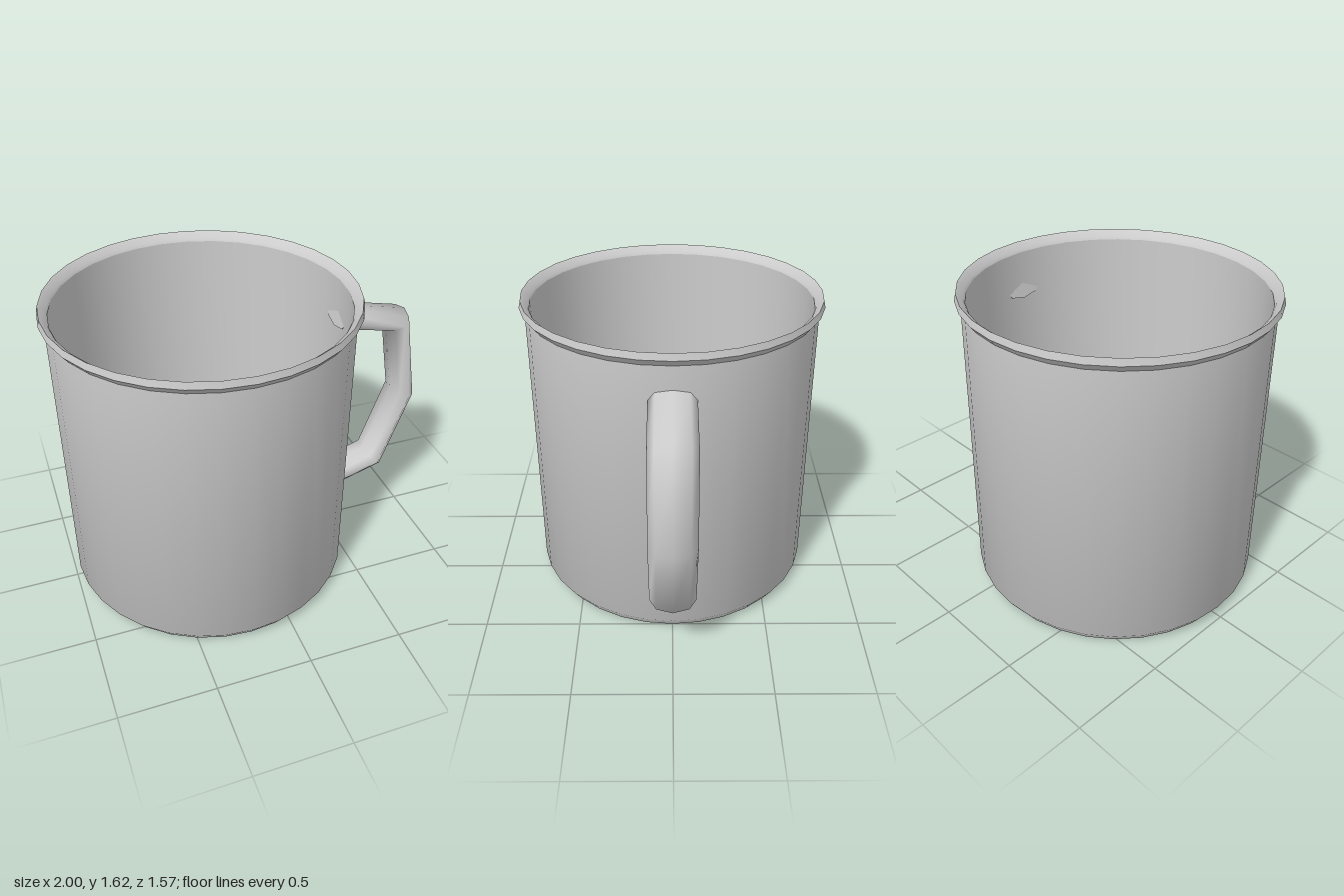
import * as THREE from 'three';
import { toCreasedNormals } from 'three/addons/utils/BufferGeometryUtils.js';

const CUP_X = -0.22;

// Revolve a [radius, height] profile around the cup axis
function turned(name, profile, crease, material) {
  const points = profile.map(([r, y]) => new THREE.Vector2(r, y));
  const mesh = new THREE.Mesh(toCreasedNormals(new THREE.LatheGeometry(points, 32), crease), material);
  mesh.name = name;
  mesh.position.x = CUP_X;
  return mesh;
}

// Sweep a flattened octagon along a path in the xy plane, with mitred corners
function bentBar(path, halfThick, halfWide, sides) {
  const pts = path.map(([x, y]) => new THREE.Vector2(x, y));
  const last = pts.length - 1;
  const positions = [];
  const index = [];
  pts.forEach((p, i) => {
    const before = p.clone().sub(pts[Math.max(i - 1, 0)]).normalize();
    const after = pts[Math.min(i + 1, last)].clone().sub(p).normalize();
    const tangent = before.clone().add(after).normalize();
    const mitre = halfThick / tangent.dot(i < last ? after : before);
    for (let j = 0; j < sides; j++) {
      const a = (j / sides) * Math.PI * 2;
      const out = Math.cos(a) * mitre;
      positions.push(p.x - tangent.y * out, p.y + tangent.x * out, Math.sin(a) * halfWide);
    }
  });
  for (let i = 0; i < last; i++) {
    for (let j = 0; j < sides; j++) {
      const k = (j + 1) % sides;
      const a = i * sides + j, b = i * sides + k;
      index.push(a, b, b + sides, a, b + sides, a + sides);
    }
  }
  // end caps
  const end = last * sides;
  for (let j = 1; j < sides - 1; j++) {
    index.push(0, j + 1, j, end, end + j, end + j + 1);
  }
  const geometry = new THREE.BufferGeometry();
  geometry.setAttribute('position', new THREE.Float32BufferAttribute(positions, 3));
  geometry.setIndex(index);
  return toCreasedNormals(geometry, 1.45);
}

export function createModel() {
  const group = new THREE.Group();
  group.name = 'mug';
  const metal = new THREE.MeshStandardMaterial({ color: 0xcccccc });
  metal.name = 'grey metal';

  // Outer wall with a bevelled foot
  group.add(turned('outerWall', [[0, 0], [0.72, 0], [0.758, 0.055], [0.758, 1.55]], 0.7, metal));
  // Flared rim
  group.add(turned('rim', [[0.758, 1.55], [0.785, 1.585], [0.777, 1.62], [0.743, 1.59], [0.735, 1.575]], 0.4, metal));
  // Inner wall and floor
  group.add(turned('innerWall', [[0.735, 1.575], [0.735, 0.075], [0.7, 0.025], [0, 0.025]], 0.5, metal));

  // Angular handle
  const handle = new THREE.Mesh(
    bentBar([[0.51, 1.377], [0.858, 1.3], [0.935, 0.838], [0.783, 0.415], [0.525, 0.335]], 0.058, 0.115, 8),
    metal
  );
  handle.name = 'handle';
  group.add(handle);
  return group;
}
